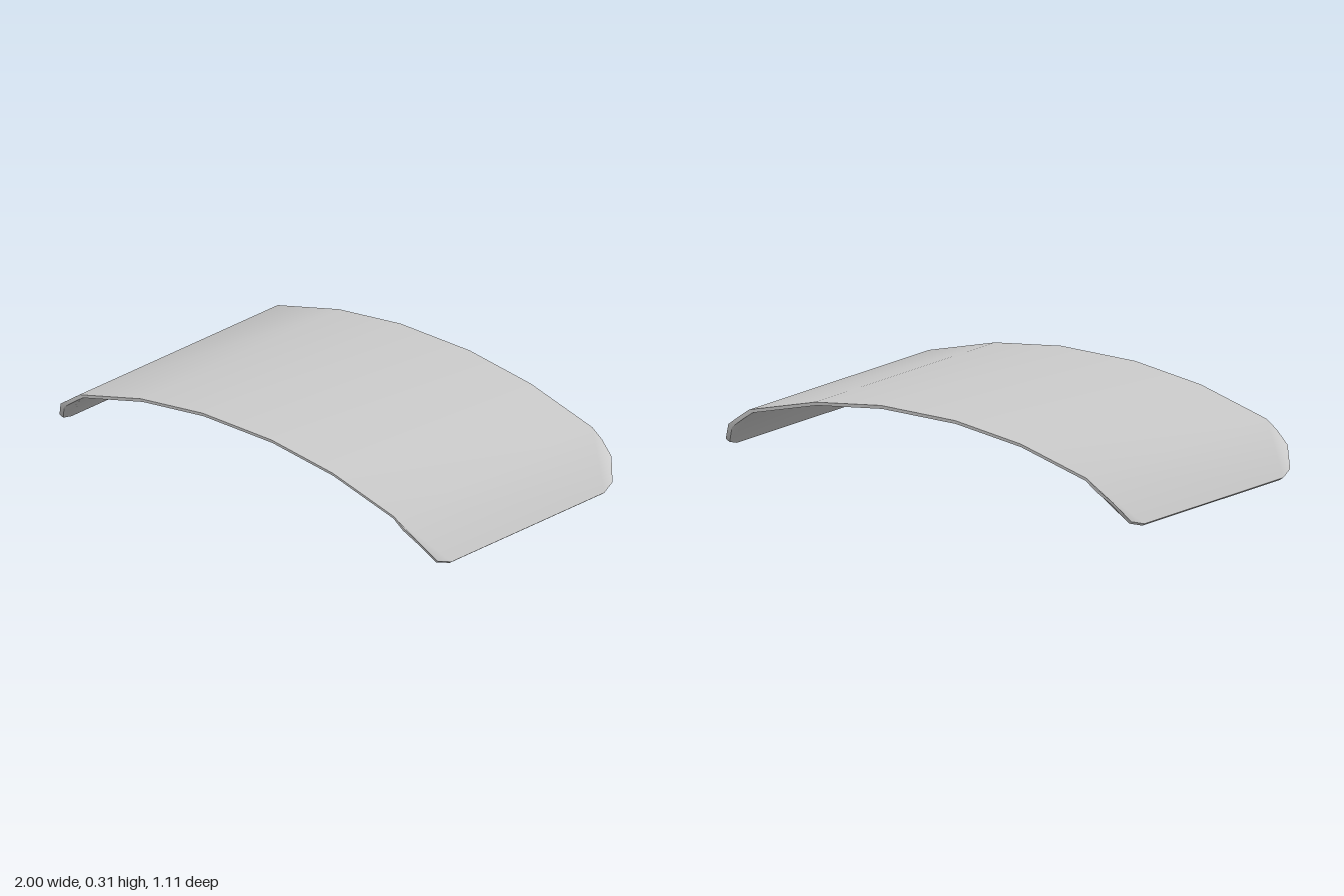
import * as THREE from 'three';

// Outline of one quarter: along the long edge, then around the rounded corner
const QUARTER = [
  [0.18, 0.31, 0.557], [0.5, 0.27, 0.557], [0.82, 0.187, 0.557],
  [0.87, 0.152, 0.557], [0.935, 0.107, 0.54], [0.985, 0.03, 0.492], [1, 0.011, 0.43],
];
const N = QUARTER.length;
const id = (sx, sz, k) => ((sx > 0 ? 0 : 2) + (sz > 0 ? 0 : 1)) * N + k;

// All four mirrored quarters; the lower skin is set in and down by the thickness
function layer(lower) {
  const points = [];
  for (const sx of [1, -1]) for (const sz of [1, -1]) {
    for (const [x, y, z] of QUARTER) {
      const dx = lower ? 0.015 * x * x : 0;
      const dy = lower ? 0.015 - 0.004 * x * x : 0;
      const dz = lower ? 0.006 : 0;
      points.push(sx * (x - dx), Math.max(0, y - dy), sz * (z - dz));
    }
  }
  return points;
}

// Triangles of the arched skin, facing up
function skinFaces() {
  const faces = [];
  const quad = (a, b, c, d) => faces.push(a, b, c, a, c, d);
  quad(id(-1, 1, 0), id(1, 1, 0), id(1, -1, 0), id(-1, -1, 0));
  for (const s of [1, -1]) {
    const f = (k) => id(s, s, k);
    const b = (k) => id(s, -s, k);
    for (let k = 0; k < 2; k++) quad(f(k), f(k + 1), b(k + 1), b(k));
    // Sloping end, with a fan for each rounded corner
    quad(f(2), f(N - 1), b(N - 1), b(2));
    for (let k = 3; k < N - 1; k++) {
      faces.push(f(2), f(k), f(k + 1), b(2), b(k + 1), b(k));
    }
  }
  return faces;
}

// Quads joining the two skins around the border
function rimFaces() {
  const loop = [];
  for (const s of [1, -1]) {
    for (let k = 0; k < N; k++) loop.push(id(s, s, k));
    for (let k = N - 1; k >= 0; k--) loop.push(id(s, -s, k));
  }
  const faces = [];
  loop.forEach((p, i) => {
    const q = loop[(i + 1) % loop.length];
    faces.push(p, p + 4 * N, q + 4 * N, p, q + 4 * N, q);
  });
  return faces;
}

export function createModel() {
  const group = new THREE.Group();
  group.name = 'curvedPanel';
  const material = new THREE.MeshStandardMaterial({ color: 0xcccccc });

  function add(name, points, faces) {
    const geometry = new THREE.BufferGeometry();
    geometry.setAttribute('position', new THREE.Float32BufferAttribute(points, 3));
    geometry.setIndex(faces);
    geometry.computeVertexNormals();
    const mesh = new THREE.Mesh(geometry, material);
    mesh.name = name;
    group.add(mesh);
  }

  const top = layer(false);
  const bottom = layer(true);
  add('outerSkin', top, skinFaces());
  add('innerSkin', bottom, skinFaces().reverse());
  add('rim', [...top, ...bottom], rimFaces());
  return group;
}
